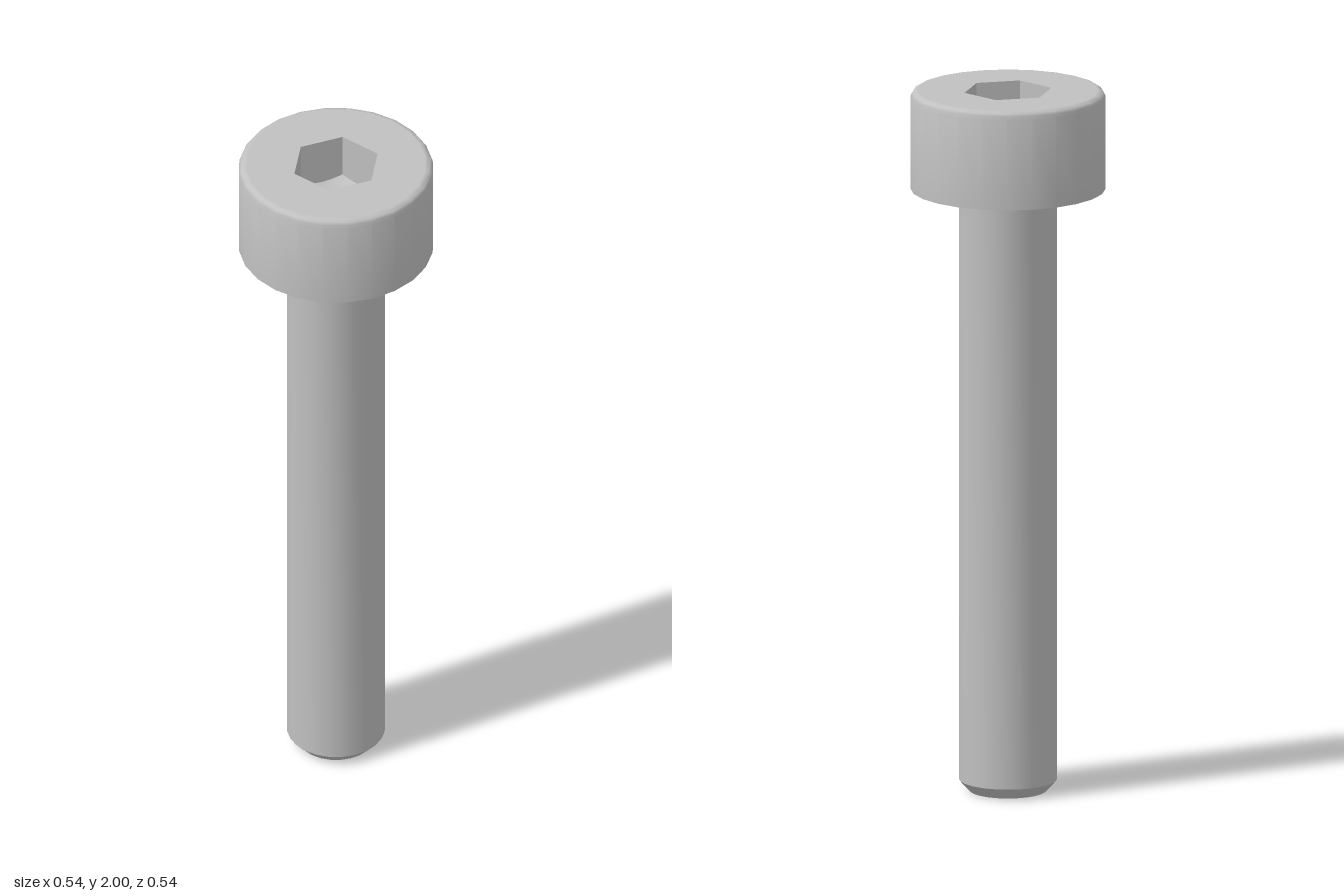
import * as THREE from 'three';
import { toCreasedNormals } from 'three/addons/utils/BufferGeometryUtils.js';

const SIDES = 24;
const HEAD_R = 0.272, HEAD_Y = 1.72, TOP = 2, FILLET = 0.02;
const SHAFT_R = 0.137, TIP_R = 0.108, CHAMFER = 0.032;
const HEX_FLAT = 0.108, SOCKET_Y = 1.86, CONE_SLOPE = 0.55;

const v2 = (x, y) => new THREE.Vector2(x, y);

// Revolve a profile, keeping edges sharper than about 34 degrees
function turned(points) {
  return toCreasedNormals(new THREE.LatheGeometry(points, SIDES), 0.6);
}

// Distance from the axis to the hexagon wall; corners lie on the z axis
function hexRadius(angle) {
  const sector = Math.PI / 3;
  const a = ((angle % sector) + sector) % sector;
  return HEX_FLAT / Math.cos(a - sector / 2);
}

// Hexagonal walls ending in a drilled, conical floor
function socketGeometry() {
  const apex = SOCKET_Y - HEX_FLAT * CONE_SLOPE;
  const geo = new THREE.LatheGeometry([v2(1, TOP), v2(1, SOCKET_Y), v2(0, apex)], SIDES);
  const pos = geo.attributes.position;
  for (let i = 0; i < pos.count; i++) {
    const x = pos.getX(i), y = pos.getY(i), z = pos.getZ(i);
    if (Math.hypot(x, z) < 0.5) continue;
    const r = hexRadius(Math.atan2(x, z) + 1e-9);
    pos.setXYZ(i, x * r, y > TOP - 0.01 ? TOP : apex + CONE_SLOPE * r, z * r);
  }
  return toCreasedNormals(geo, 0.6);
}

// Flat ring with a hexagonal hole
function topGeometry() {
  const ring = (count, r) => Array.from({ length: count }, (_, i) => {
    const a = (i / count) * Math.PI * 2;
    return v2(Math.sin(a) * r, Math.cos(a) * r);
  });
  const shape = new THREE.Shape(ring(SIDES, HEAD_R - FILLET));
  shape.holes.push(new THREE.Path(ring(6, HEX_FLAT / Math.cos(Math.PI / 6))));
  return new THREE.ShapeGeometry(shape).rotateX(-Math.PI / 2).translate(0, TOP, 0);
}

export function createModel() {
  const model = new THREE.Group();
  model.name = 'socketHeadScrew';
  const steel = new THREE.MeshStandardMaterial({ color: 0xc0c0c0 });
  steel.name = 'steel';
  const add = (name, geo) => {
    const mesh = new THREE.Mesh(geo, steel);
    mesh.name = name;
    model.add(mesh);
  };

  // Shaft with chamfered tip
  add('shaft', turned([
    v2(0, 0), v2(TIP_R, 0), v2(SHAFT_R, CHAMFER), v2(SHAFT_R, HEAD_Y),
  ]));

  // Head underside, side and rounded rim
  const head = [v2(SHAFT_R, HEAD_Y), v2(HEAD_R, HEAD_Y)];
  for (let i = 0; i <= 4; i++) {
    const a = (i / 4) * Math.PI / 2;
    head.push(v2(HEAD_R - FILLET + Math.cos(a) * FILLET, TOP - FILLET + Math.sin(a) * FILLET));
  }
  add('head', turned(head));

  add('headTop', topGeometry());
  add('hexSocket', socketGeometry());
  return model;
}
